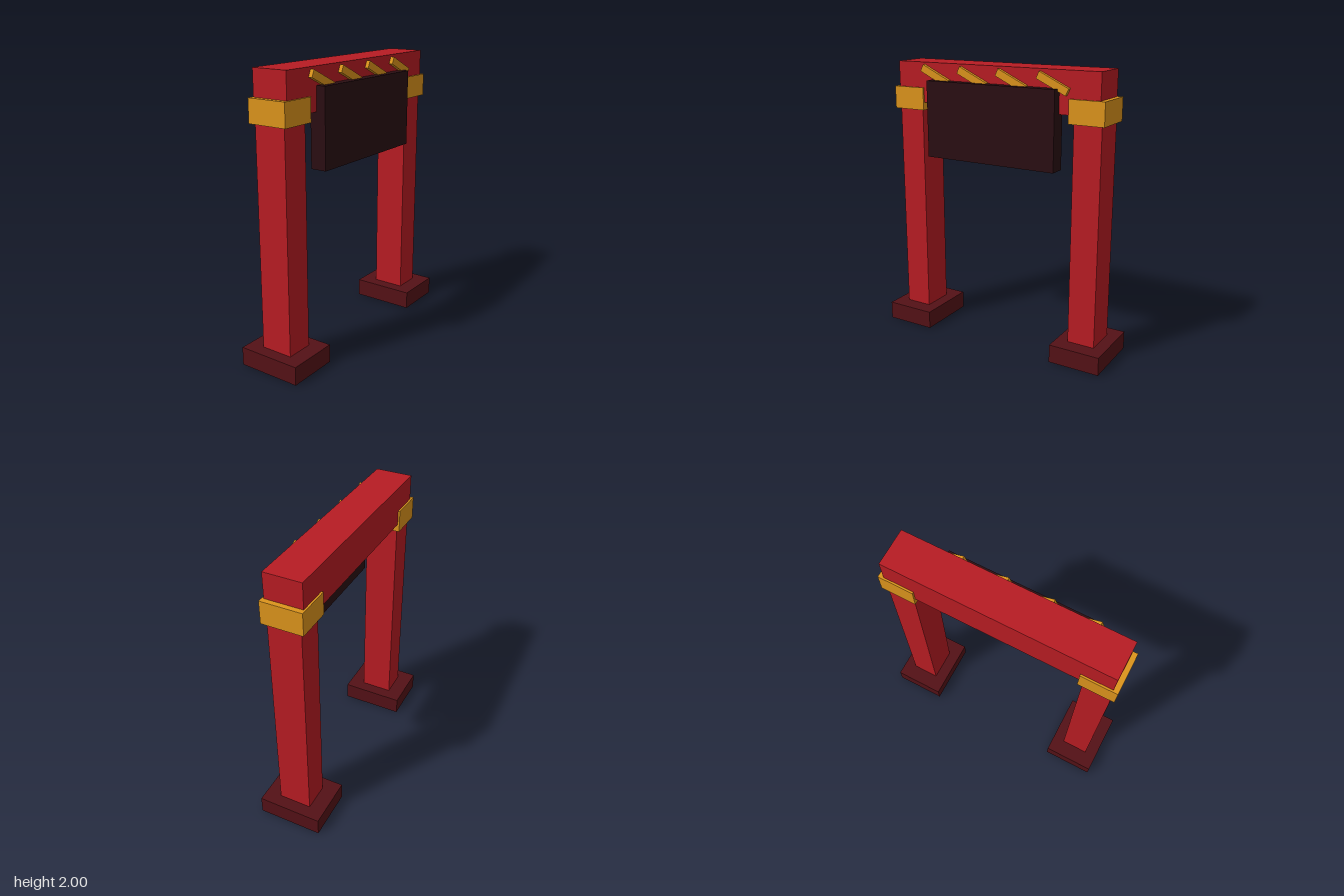
import * as THREE from 'three';

const material = (color) => new THREE.MeshStandardMaterial({ color, flatShading: true });

export function createModel() {
  const red = material(0xb81c23);
  const gold = material(0xdc941c);
  const maroon = material(0x541116);
  const dark = material(0x2a0e12);
  const model = new THREE.Group();
  model.name = 'gate';

  // Box given by its size and centre
  const box = (name, mat, [w, h, d], [x, y, z], parent = model) => {
    const mesh = new THREE.Mesh(new THREE.BoxGeometry(w, h, d), mat);
    mesh.name = name;
    mesh.position.set(x, y, z);
    parent.add(mesh);
    return mesh;
  };

  // Two posts, each with a plinth and a collar
  for (const [side, s] of [['left', 1], ['right', -1]]) {
    const post = new THREE.Group();
    post.name = side + 'Post';
    post.position.x = s * 0.698;
    box('plinth', maroon, [0.37, 0.13, 0.46], [0, 0.065, 0], post);
    box('shaft', red, [0.197, 1.798, 0.234], [0, 0.901, 0], post);
    box('collar', gold, [0.25, 0.16, 0.29], [0, 1.74, 0], post);
    model.add(post);
  }

  // Lintel and hanging sign board
  box('lintel', red, [1.575, 0.285, 0.264], [0, 1.8575, 0], model);
  box('signBoard', dark, [1.0, 0.54, 0.115], [0, 1.61, 0.14], model);

  // Slanted slats across the face of the lintel
  for (let i = 0; i < 4; i++) {
    const slat = box('slat' + (i + 1), gold, [0.235, 0.052, 0.05], [(i - 1.5) * 0.307, 1.912, 0.134]);
    slat.rotation.z = -0.436;
  }
  return model;
}
